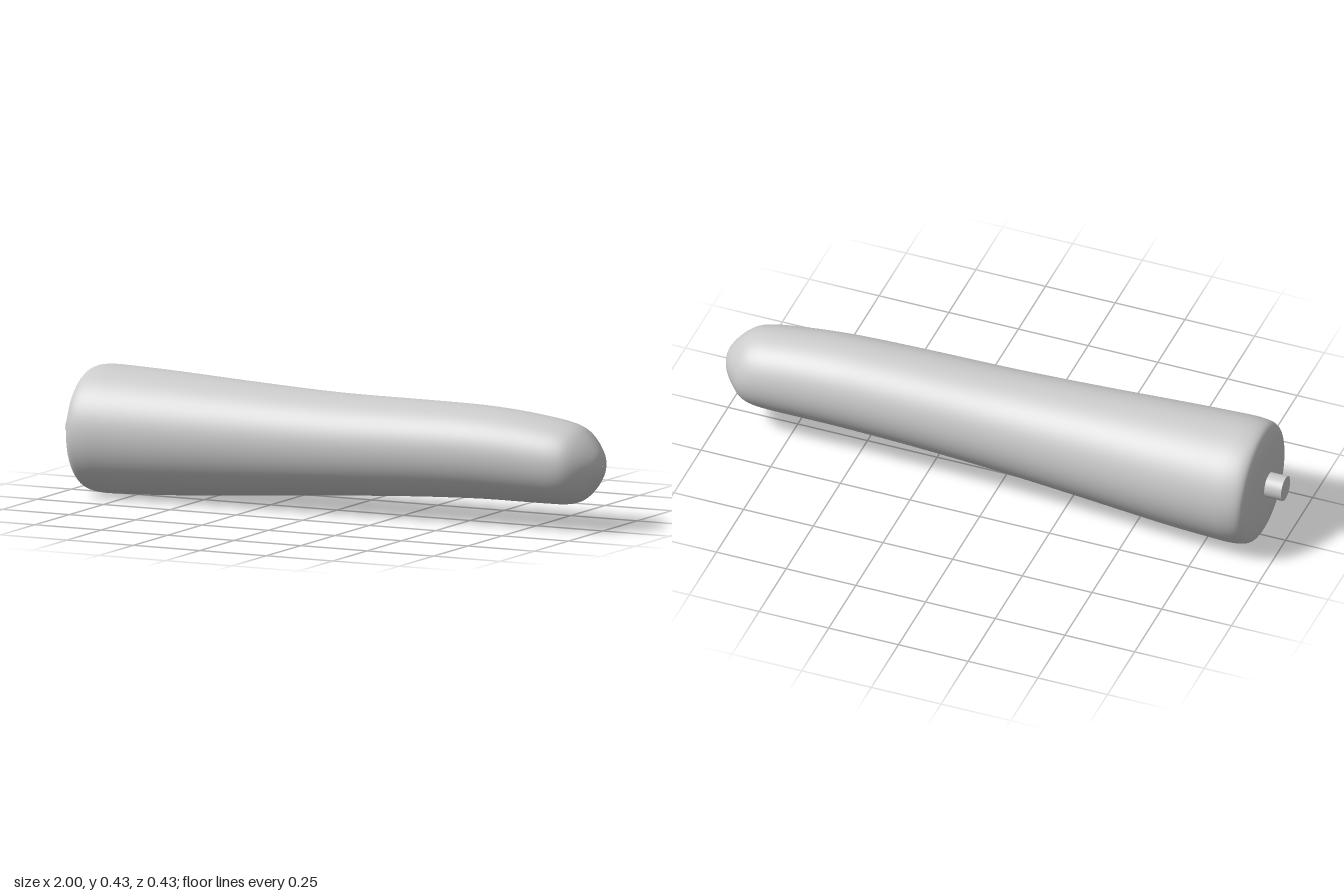
import * as THREE from 'three';

// Cross-sections along x: [x, top y, bottom y, back z, front z]
const SECTIONS = [
  [-0.94, 0.218, 0.216, -0.001, 0.001],
  [-0.939, 0.3, 0.134, -0.083, 0.083],
  [-0.934, 0.36, 0.074, -0.143, 0.143],
  [-0.925, 0.4, 0.034, -0.183, 0.183],
  [-0.907, 0.424, 0.01, -0.207, 0.207],
  [-0.86, 0.433, 0.001, -0.216, 0.215],
  [-0.78, 0.432, 0.002, -0.215, 0.214],
  [-0.6, 0.425, 0.01, -0.206, 0.206],
  [-0.3, 0.41, 0.031, -0.185, 0.19],
  [0, 0.398, 0.052, -0.169, 0.178],
  [0.3, 0.396, 0.07, -0.163, 0.167],
  [0.5, 0.394, 0.078, -0.161, 0.159],
  [0.6, 0.39, 0.08, -0.159, 0.155],
  [0.7, 0.382, 0.08, -0.156, 0.15],
  [0.8, 0.37, 0.08, -0.152, 0.144],
  [0.87, 0.358, 0.082, -0.145, 0.137],
  [0.915, 0.342, 0.093, -0.13, 0.124],
  [0.95, 0.315, 0.119, -0.1, 0.098],
  [0.98, 0.28, 0.157, -0.064, 0.062],
  [0.996, 0.25, 0.19, -0.031, 0.031],
  [1, 0.22, 0.218, -0.001, 0.001],
];

// Smooth skin through elliptical rings, splined between the sections
function loft(sections, steps, sides) {
  const channels = sections[0].map((_, c) =>
    new THREE.SplineCurve(sections.map((s, i) => new THREE.Vector2(i, s[c]))));
  const positions = [];
  const index = [];
  for (let i = 0; i <= steps; i++) {
    const [x, top, bottom, back, front] = channels.map((c) => c.getPoint(i / steps).y);
    for (let j = 0; j < sides; j++) {
      const a = (j / sides) * Math.PI * 2;
      positions.push(
        x,
        (top + bottom) / 2 + ((top - bottom) / 2) * Math.cos(a),
        (back + front) / 2 + ((front - back) / 2) * Math.sin(a),
      );
      if (i === steps) continue;
      const p = i * sides + j;
      const q = i * sides + ((j + 1) % sides);
      index.push(p, q, q + sides, p, q + sides, p + sides);
    }
  }
  const geometry = new THREE.BufferGeometry();
  geometry.setAttribute('position', new THREE.Float32BufferAttribute(positions, 3));
  geometry.setIndex(index);
  geometry.computeVertexNormals();
  return geometry;
}

export function createModel() {
  const group = new THREE.Group();
  const material = new THREE.MeshStandardMaterial({ color: 0xcccccc });

  // Tapered body with a rounded tip
  const body = new THREE.Mesh(loft(SECTIONS, (SECTIONS.length - 1) * 5, 96), material);
  body.name = 'taperedBody';
  group.add(body);

  // Short mounting peg on the wide end
  const peg = new THREE.Mesh(new THREE.CylinderGeometry(0.043, 0.043, 0.1, 48), material);
  peg.name = 'mountingPeg';
  peg.rotation.z = Math.PI / 2;
  peg.position.set(-0.95, 0.219, 0);
  group.add(peg);

  return group;
}
